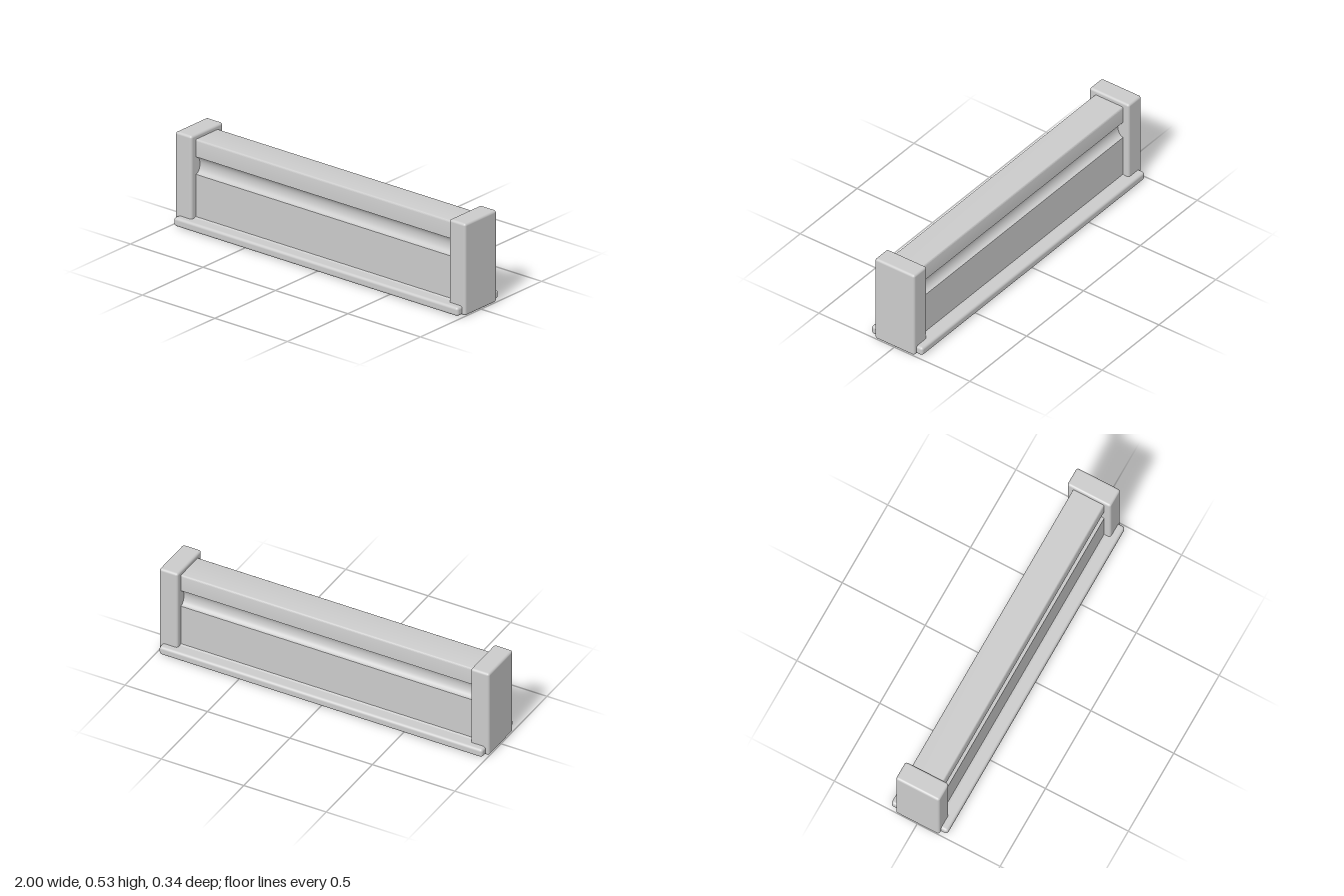
import * as THREE from 'three';
import { RoundedBoxGeometry } from 'three/addons/geometries/RoundedBoxGeometry.js';
import { toCreasedNormals } from 'three/addons/utils/BufferGeometryUtils.js';

const material = new THREE.MeshStandardMaterial({ color: 0xcccccc });

function add(group, name, geometry, x = 0, y = 0, z = 0) {
  const mesh = new THREE.Mesh(geometry, material);
  mesh.name = name;
  mesh.position.set(x, y, z);
  group.add(mesh);
}

// Half of the wall section, from the foot up to the top: [half depth, height]
function wallHalfProfile() {
  const pts = [[0.107, 0.03], [0.107, 0.052], [0.094, 0.058], [0.094, 0.3]];
  // concave finger groove
  const steps = 14, depth = 0.034;
  for (let i = 1; i < steps; i++) {
    const t = i / steps;
    pts.push([0.094 - depth * Math.sin(Math.PI * t), 0.35 - 0.05 * Math.cos(Math.PI * t)]);
  }
  pts.push([0.094, 0.4], [0.094, 0.49]);
  // softened top edge
  for (let i = 1; i <= 4; i++) {
    const a = (i / 4) * Math.PI / 2;
    pts.push([0.084 + 0.01 * Math.cos(a), 0.49 + 0.01 * Math.sin(a)]);
  }
  return pts;
}

export function createModel() {
  const group = new THREE.Group();
  group.name = 'barrier';

  // long base plate, its ledges showing in front and behind
  add(group, 'basePlate', new RoundedBoxGeometry(1.96, 0.05, 0.34, 4, 0.015), 0, 0.028, 0);

  // grooved wall, extruded along x
  const half = wallHalfProfile();
  const outline = [
    ...half.map(([z, y]) => new THREE.Vector2(z, y)),
    ...half.slice().reverse().map(([z, y]) => new THREE.Vector2(-z, y)),
  ];
  const length = 1.8;
  let wall = new THREE.ExtrudeGeometry(new THREE.Shape(outline), { depth: length, bevelEnabled: false });
  wall.translate(0, 0, -length / 2);
  wall.rotateY(-Math.PI / 2);
  wall = toCreasedNormals(wall, 0.5);
  add(group, 'groovedWall', wall);

  // end posts
  for (const side of [-1, 1]) {
    add(group, side > 0 ? 'leftPost' : 'rightPost',
      new RoundedBoxGeometry(0.112, 0.527, 0.262, 4, 0.014), side * 0.944, 0.2635, 0);
  }
  return group;
}
